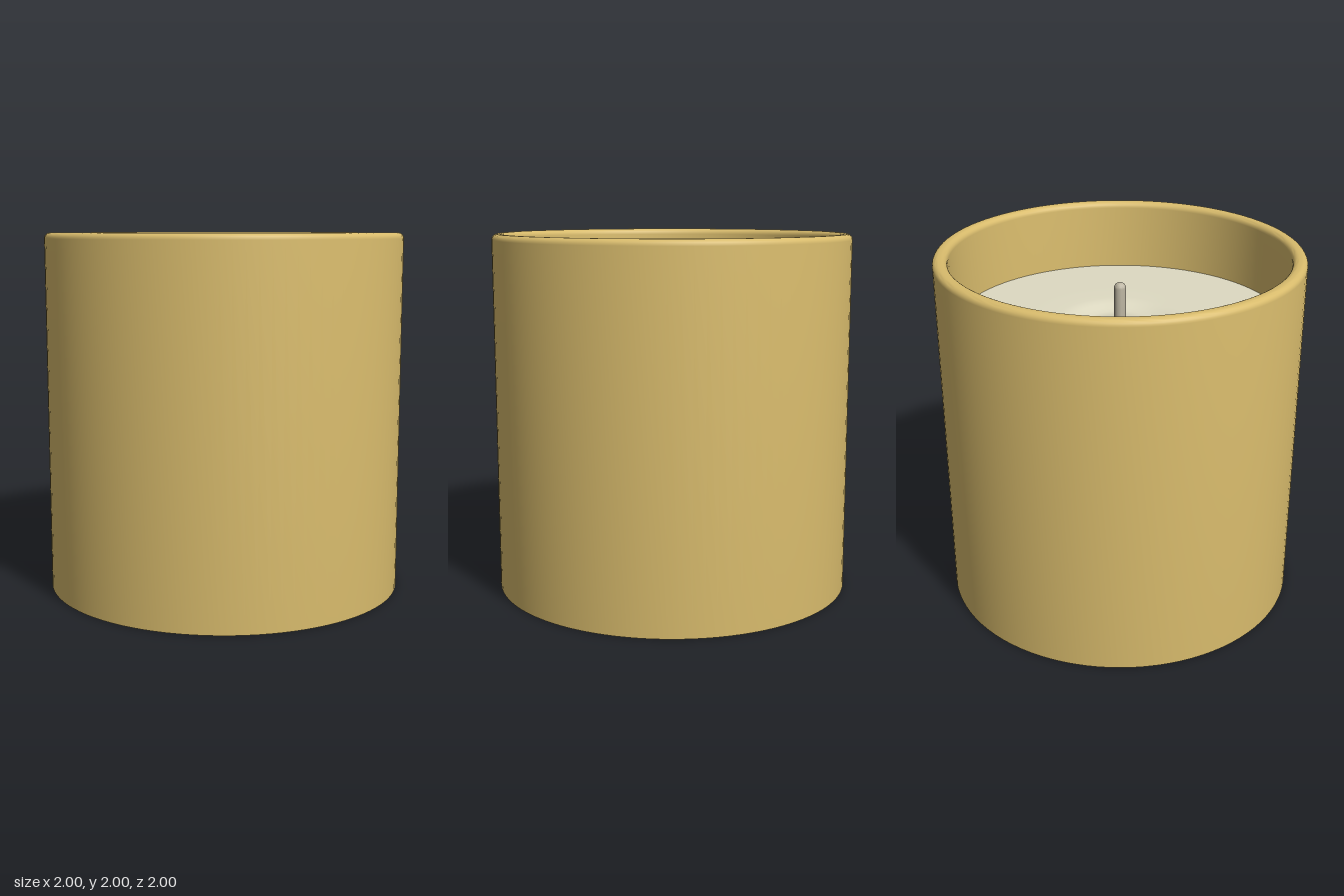
import * as THREE from 'three';
import { toCreasedNormals } from 'three/addons/utils/BufferGeometryUtils.js';

const SEGMENTS = 96;
const INNER = 0.92;   // inside radius of the jar
const WAX_Y = 1.6;    // level of the wax

const v = (x, y) => new THREE.Vector2(x, y);

// Quarter-round corner points between two angles
function arc(cx, cy, r, from, to, steps = 6) {
  return Array.from({ length: steps + 1 }, (_, i) => {
    const a = from + (to - from) * i / steps;
    return v(cx + r * Math.cos(a), cy + r * Math.sin(a));
  });
}

function lathe(name, points, color, segments = SEGMENTS) {
  const geometry = toCreasedNormals(new THREE.LatheGeometry(points, segments), Math.PI / 5);
  const mesh = new THREE.Mesh(geometry, new THREE.MeshStandardMaterial({ color }));
  mesh.name = name;
  return mesh;
}

export function createModel() {
  const group = new THREE.Group();
  group.name = 'candle';

  // Jar: flat base, straight wall, softly rounded rim, hollow inside
  const r = 0.033;
  group.add(lathe('jar', [
    v(0, 0), v(1, 0),
    ...arc(1 - r, 2 - r, r, 0, Math.PI / 2),
    ...arc(INNER + r, 2 - r, r, Math.PI / 2, Math.PI),
    v(INNER, 0.08), v(0, 0.08),
  ], 0xd8bb6c));

  // Wax: level surface with a shallow melted ring rising again to the wick
  const dip = [v(0.36, 0), v(0.32, -0.003), v(0.29, -0.01), v(0.25, -0.021),
    v(0.215, -0.029), v(0.19, -0.031), v(0.165, -0.028), v(0.1, -0.018), v(0, -0.005)];
  group.add(lathe('wax', [
    v(INNER, WAX_Y), v(0.55, WAX_Y),
    ...dip.map(p => v(p.x, WAX_Y + p.y)),
  ], 0xdedac2));

  // Wick: thin stem with a rounded tip
  const w = 0.033;
  group.add(lathe('wick', [
    v(w, WAX_Y - 0.05),
    ...arc(0, 1.79, w, 0, Math.PI / 2, 8),
  ], 0xbab3a0, 24));

  return group;
}
